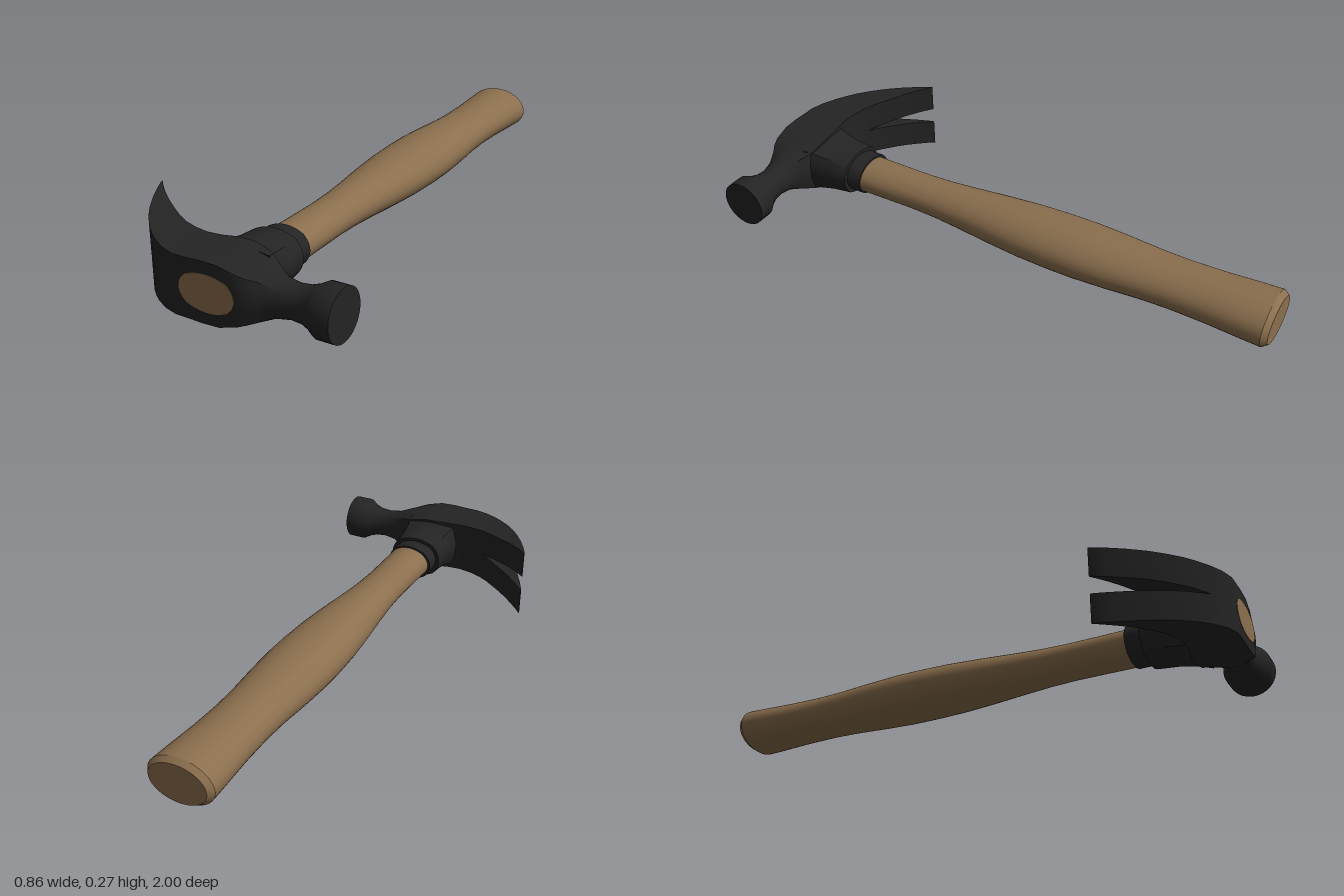
import * as THREE from 'three';
import { toCreasedNormals } from 'three/addons/utils/BufferGeometryUtils.js';

const CY = 0.134; // height of the hammer's middle plane
const STEPS = 40;

// Skin a list of equal-length rings (counter-clockwise about the travel axis) and cap both ends.
function loft(rings, crease = 0.6) {
  const n = rings[0].length, pos = [], idx = [];
  rings.forEach(r => r.forEach(p => pos.push(...p)));
  for (let i = 0; i < rings.length - 1; i++) {
    for (let j = 0; j < n; j++) {
      const a = i * n + j, b = i * n + (j + 1) % n;
      idx.push(a, b, b + n, a, b + n, a + n);
    }
  }
  [0, rings.length - 1].forEach((i, end) => {
    const c = pos.length / 3;
    pos.push(...[0, 1, 2].map(k => rings[i].reduce((s, p) => s + p[k], 0) / n));
    for (let j = 0; j < n; j++) {
      const a = i * n + j, b = i * n + (j + 1) % n;
      if (end) idx.push(c, a, b); else idx.push(c, b, a);
    }
  });
  const g = new THREE.BufferGeometry();
  g.setAttribute('position', new THREE.Float32BufferAttribute(pos, 3));
  g.setIndex(idx);
  return toCreasedNormals(g, crease);
}

// Unit outline blending from a circle (k = 0) to a square (k = 1).
function outline(k) {
  return Array.from({ length: STEPS }, (_, i) => {
    const t = i / STEPS * Math.PI * 2, c = Math.cos(t), s = Math.sin(t);
    const f = 1 + k * (1 / Math.max(Math.abs(c), Math.abs(s)) - 1);
    return [c * f, s * f];
  });
}
const ringZ = (z, cx, rx, ry, k = 0) => outline(k).map(([u, v]) => [cx + u * rx, CY + v * ry, z]);
const ringX = (x, zBack, zFront, ry, k) => outline(k).map(([u, v]) =>
  [x, CY + u * ry, (zBack + zFront) / 2 + v * (zFront - zBack) / 2]);

export function createModel() {
  const group = new THREE.Group();
  const wood = new THREE.MeshStandardMaterial({ color: 0x8b6f4e });
  wood.name = 'wood';
  const steel = new THREE.MeshStandardMaterial({ color: 0x242424 });
  steel.name = 'dark steel';
  const add = (name, geometry, material) => {
    const m = new THREE.Mesh(geometry, material);
    m.name = name;
    group.add(m);
  };

  // Handle: z, half width, half height
  const grip = [
    [-1, 0.105, 0.07], [-0.98, 0.121, 0.083], [-0.9, 0.117, 0.081], [-0.78, 0.109, 0.077],
    [-0.65, 0.106, 0.075], [-0.55, 0.109, 0.077], [-0.42, 0.119, 0.083], [-0.3, 0.125, 0.087],
    [-0.2, 0.125, 0.087], [-0.08, 0.12, 0.085], [0.05, 0.108, 0.079], [0.18, 0.093, 0.071],
    [0.28, 0.084, 0.065], [0.38, 0.08, 0.062], [0.5, 0.081, 0.062], [0.64, 0.084, 0.062],
  ];
  add('handle', loft(grip.map(([z, rx, ry]) => ringZ(z, 0.035, rx, ry)), 0.5), wood);

  // End of the handle showing through the eye of the head
  add('handleEnd', loft([0.995, 1.001].map(z => ringZ(z, 0.02, 0.1, 0.062, 0.12))), wood);

  // Collar and flaring socket behind the head
  add('collar', loft([0.61, 0.68].map(z => ringZ(z, 0.032, 0.089, 0.068, 0.1))), steel);
  add('socket', loft([
    ringZ(0.668, 0.032, 0.103, 0.08, 0.15), ringZ(0.74, 0.034, 0.105, 0.083, 0.25),
    ringZ(0.8, 0.035, 0.109, 0.09, 0.4), ringZ(0.85, 0.035, 0.118, 0.098, 0.6),
  ]), steel);

  // Head body, neck and striking face: x, back z, front z, half height, squareness
  const head = [
    [-0.2, 0.81, 0.955, 0.105, 1], [-0.15, 0.824, 0.983, 0.102, 1], [-0.1, 0.83, 0.999, 0.1, 1],
    [-0.05, 0.825, 1, 0.1, 1], [0, 0.815, 1, 0.102, 1], [0.06, 0.81, 1, 0.102, 0.95],
    [0.12, 0.81, 1, 0.09, 0.8], [0.15, 0.82, 0.996, 0.084, 0.6], [0.18, 0.835, 0.98, 0.078, 0.4],
    [0.22, 0.85, 0.965, 0.062, 0.15], [0.27, 0.855, 0.957, 0.056, 0], [0.31, 0.85, 0.961, 0.059, 0],
    [0.34, 0.838, 0.973, 0.069, 0], [0.37, 0.821, 0.992, 0.086, 0], [0.43, 0.821, 0.992, 0.086, 0],
  ];
  add('headBody', loft(head.map(s => ringX(...s))), steel);

  // Two curved claw prongs with a V notch between: x, back z, front z, outer half height
  const claw = [
    [-0.432, 0.645, 0.65, 0.133], [-0.41, 0.667, 0.697, 0.13], [-0.38, 0.694, 0.752, 0.126],
    [-0.345, 0.722, 0.808, 0.121], [-0.31, 0.746, 0.855, 0.116], [-0.27, 0.772, 0.898, 0.112],
    [-0.235, 0.793, 0.929, 0.108], [-0.2, 0.81, 0.955, 0.105],
  ];
  for (const side of [1, -1]) {
    const rings = claw.map(([x, zb, zf, h]) => {
      const gap = 0.03 * (-0.2 - x) / 0.232;
      const [lo, hi] = side > 0 ? [CY + gap, CY + h] : [CY - h, CY - gap];
      return [[x, lo, zb], [x, hi, zb], [x, hi, zf], [x, lo, zf]];
    });
    add(side > 0 ? 'upperClaw' : 'lowerClaw', loft(rings), steel);
  }
  return group;
}
